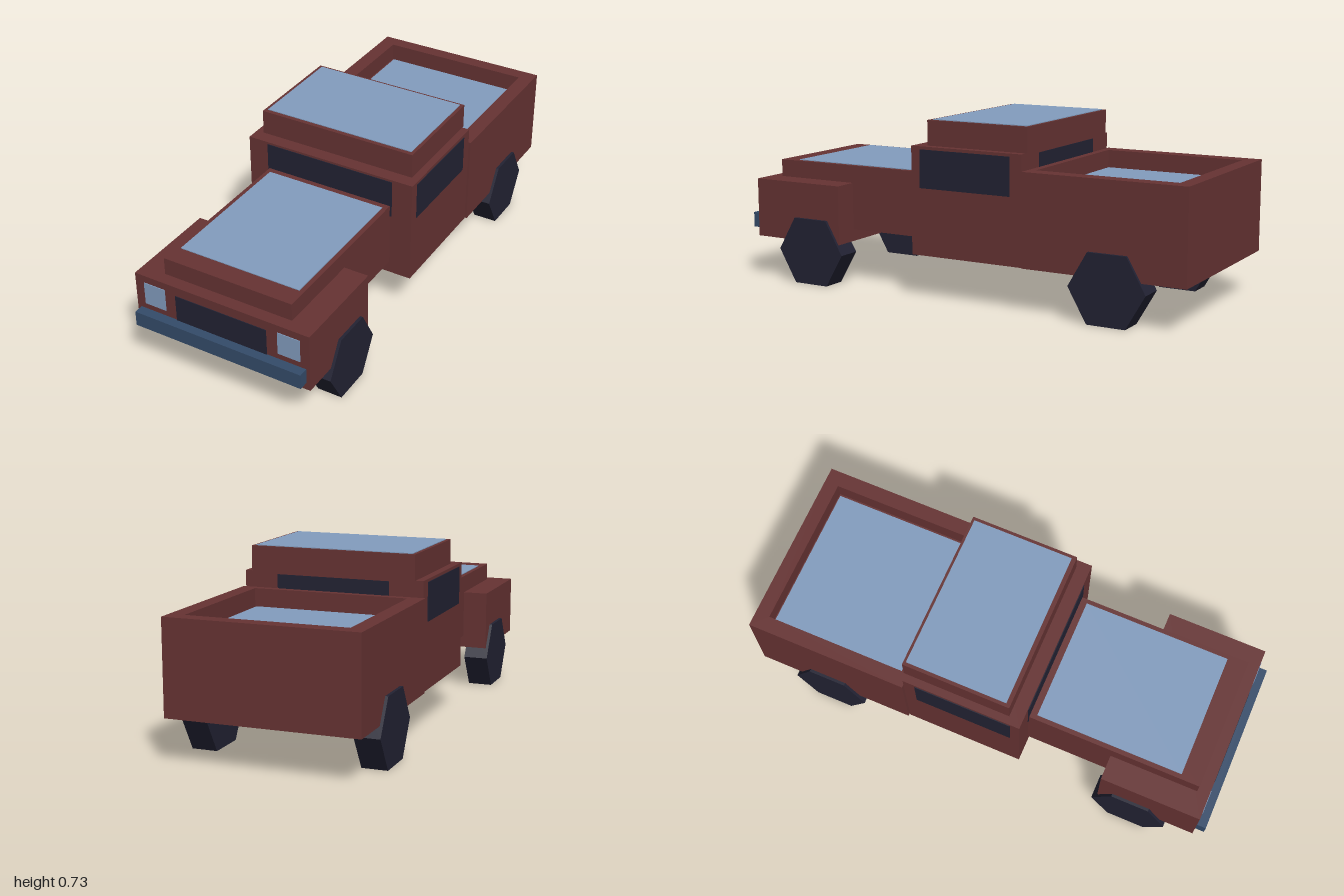
import * as THREE from 'three';

const mat = (name, color) => {
  const m = new THREE.MeshStandardMaterial({ color });
  m.name = name;
  return m;
};

export function createModel() {
  const truck = new THREE.Group();
  truck.name = 'pickupTruck';
  const red = mat('bodyRed', 0x663333);
  const dark = mat('darkGlassAndRubber', 0x222233);
  const pale = mat('paleBlue', 0x829cbe);
  const steel = mat('bumperBlue', 0x344b69);

  const add = (name, geometry, material) => {
    const mesh = new THREE.Mesh(geometry, material);
    mesh.name = name;
    truck.add(mesh);
    return mesh;
  };
  // Box given by its limits on each axis
  const box = (name, material, [x0, x1], [y0, y1], [z0, z1]) =>
    add(name, new THREE.BoxGeometry(x1 - x0, y1 - y0, z1 - z0), material)
      .position.set((x0 + x1) / 2, (y0 + y1) / 2, (z0 + z1) / 2);
  const wide = (w) => [-w, w];
  const T = 0.003; // thickness of painted plates

  // Body blocks
  box('frontFender', red, wide(0.383), [0.18, 0.427], [0.54, 0.96]);
  box('hood', red, wide(0.28), [0.23, 0.5], [0.17, 0.91]);
  box('cabin', red, wide(0.375), [0.18, 0.62], [-0.316, 0.183]);
  box('roof', red, wide(0.343), [0.62, 0.722], [-0.325, 0.127]);
  box('bumper', steel, wide(0.367), [0.212, 0.275], [0.96, 1]);

  // Cargo bed: solid base and a raised rim around the recess
  const floorY = 0.48;
  box('bedBase', red, wide(0.383), [0.18, floorY], [-1, -0.32]);
  const rim = new THREE.Shape();
  rim.moveTo(-0.383, 0.32).lineTo(0.383, 0.32).lineTo(0.383, 1).lineTo(-0.383, 1).closePath();
  const hole = new THREE.Path();
  hole.moveTo(-0.32, 0.35).lineTo(-0.32, 0.94).lineTo(0.32, 0.94).lineTo(0.32, 0.35).closePath();
  rim.holes.push(hole);
  const rimGeometry = new THREE.ExtrudeGeometry(rim, { depth: 0.555 - floorY, bevelEnabled: false });
  rimGeometry.rotateX(-Math.PI / 2);
  add('bedRim', rimGeometry, red).position.y = floorY;

  // Pale top panels
  box('bedPanel', pale, wide(0.312), [floorY, floorY + T], [-0.935, -0.356]);
  box('roofPanel', pale, wide(0.329), [0.722, 0.722 + T], [-0.314, 0.109]);
  box('hoodPanel', pale, wide(0.261), [0.5, 0.5 + T], [0.213, 0.828]);

  // Windows and grille
  box('windshield', dark, wide(0.287), [0.452, 0.611], [0.183, 0.183 + T]);
  box('rearWindow', dark, wide(0.235), [0.452, 0.611], [-0.316 - T, -0.316]);
  box('grille', dark, wide(0.2), [0.22, 0.387], [0.96, 0.96 + T]);

  // Mirrored parts: side windows, headlights, six-sided wheels
  const R = 0.16;
  const wheel = new THREE.CylinderGeometry(R, R, 0.103, 6).toNonIndexed();
  wheel.rotateZ(Math.PI / 2);
  wheel.computeVertexNormals();
  for (const [side, s] of [['left', 1], ['right', -1]]) {
    const span = (a, b) => (s > 0 ? [a, b] : [-b, -a]);
    box(side + 'Window', dark, span(0.375, 0.375 + T), [0.453, 0.608], [-0.265, 0.143]);
    box(side + 'Headlight', pale, span(0.248, 0.343), [0.3, 0.396], [0.96, 0.96 + T]);
    for (const [end, z] of [['Front', 0.68], ['Rear', -0.685]]) {
      add(side + end + 'Wheel', wheel, dark).position.set(s * 0.3435, R * Math.cos(Math.PI / 6), z);
    }
  }
  return truck;
}
